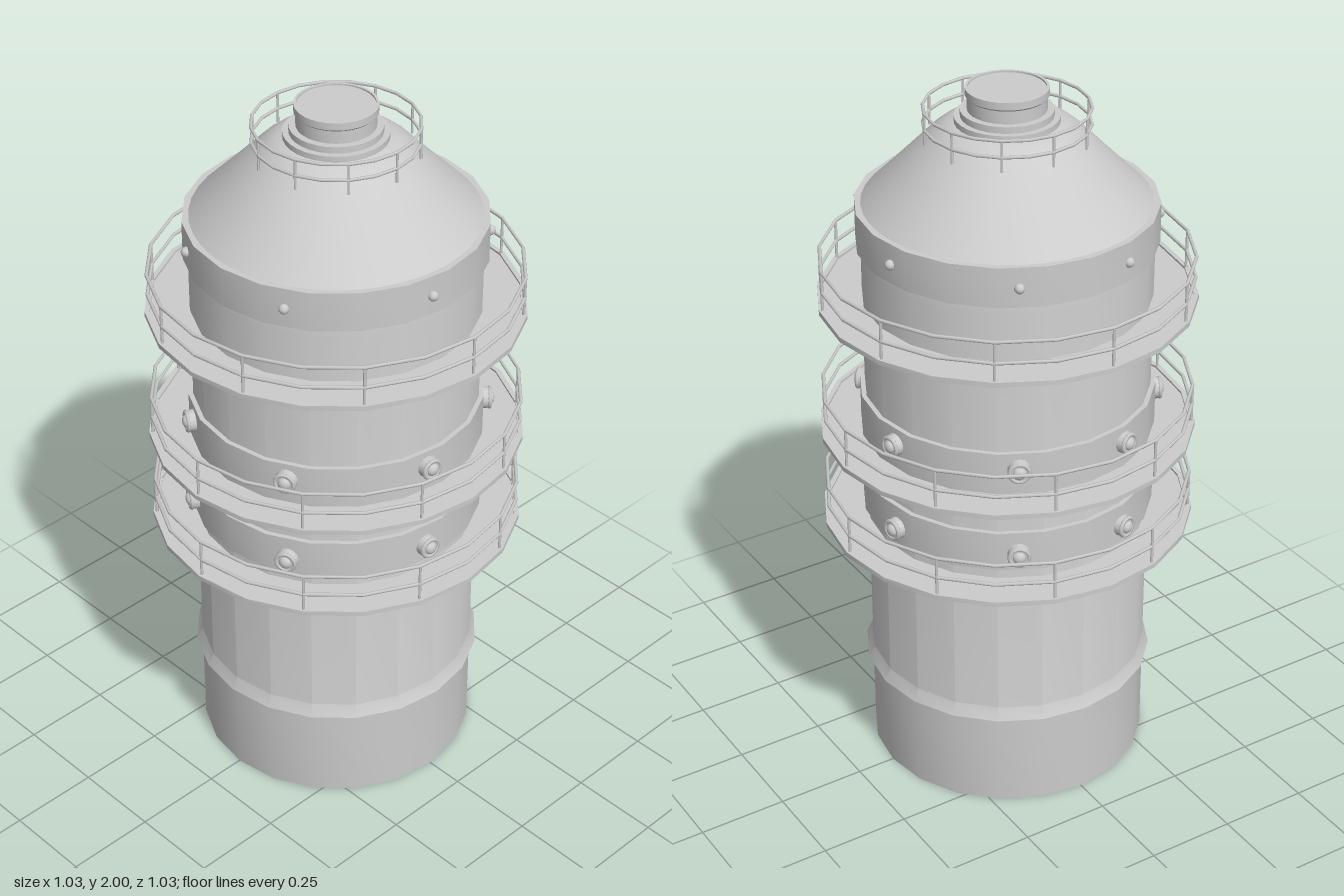
import * as THREE from 'three';
import { toCreasedNormals } from 'three/addons/utils/BufferGeometryUtils.js';

const SIDES = 20;
const material = new THREE.MeshStandardMaterial({ color: 0xcccccc, side: THREE.DoubleSide });

function add(parent, name, geometry, x = 0, y = 0, z = 0) {
  const mesh = new THREE.Mesh(geometry, material);
  mesh.name = name;
  mesh.position.set(x, y, z);
  parent.add(mesh);
  return mesh;
}

// Turned shell from [radius, height] pairs, listed bottom to top
function turned(parent, name, profile, sides = SIDES) {
  const points = profile.map(([r, y]) => new THREE.Vector2(r, y));
  return add(parent, name, toCreasedNormals(new THREE.LatheGeometry(points, sides), 0.5));
}

// Two hoops on a ring of upright posts
function railing(parent, radius, bottom, top, hoops, thick, offset) {
  const group = new THREE.Group();
  group.name = 'railing';
  for (const y of hoops) {
    const hoop = add(group, 'railHoop', new THREE.TorusGeometry(radius, thick, 6, SIDES), 0, y, 0);
    hoop.rotation.x = Math.PI / 2;
  }
  const post = new THREE.CylinderGeometry(thick * 0.8, thick * 0.8, top - bottom, 6);
  for (let i = 0; i < 10; i++) {
    const a = (i / 10) * Math.PI * 2 + offset;
    add(group, 'railPost', post, Math.sin(a) * radius, (top + bottom) / 2, Math.cos(a) * radius);
  }
  parent.add(group);
}

// Walkway: ring deck with a low kerb and its railing
function platform(parent, name, y, radius, offset) {
  const group = new THREE.Group();
  group.name = name;
  turned(group, 'deck', [
    [0.38, y - 0.006], [radius, y - 0.006], [radius, y + 0.008],
    [radius - 0.014, y + 0.008], [radius - 0.014, y + 0.002], [0.38, y + 0.002],
  ]);
  railing(group, radius - 0.01, y, y + 0.118, [y + 0.058, y + 0.118], 0.005, offset);
  parent.add(group);
}

// Compass bearings shared by the ports and the upper studs (degrees, from +z towards +x)
const BEARINGS = [-7, 45.5, 100, 152, 198, 242, 297];

function aroundBody(parent, name, y, radius, build) {
  for (const deg of BEARINGS) {
    const a = THREE.MathUtils.degToRad(deg);
    const group = new THREE.Group();
    group.name = name;
    group.position.set(Math.sin(a) * radius, y, Math.cos(a) * radius);
    group.rotation.y = a;
    build(group);
    parent.add(group);
  }
}

function buildPort(group) {
  const collar = add(group, 'portCollar', new THREE.CylinderGeometry(0.029, 0.032, 0.03, 14), 0, 0, 0.001);
  collar.rotation.x = Math.PI / 2;
  add(group, 'portRim', new THREE.TorusGeometry(0.026, 0.006, 6, 14), 0, 0, 0.014);
  const dome = add(group, 'portDome', new THREE.SphereGeometry(0.018, 12, 8), 0, 0, 0.015);
  dome.scale.z = 0.7;
}

function buildStud(group) {
  add(group, 'studHead', new THREE.SphereGeometry(0.014, 10, 8));
}

export function createModel() {
  const model = new THREE.Group();
  model.name = 'tower';

  // Open-bottomed body with a flared hoop near the base
  turned(model, 'body', [
    [0.39, 0], [0.39, 0.285], [0.407, 0.285], [0.39, 0.32], [0.39, 1.55], [0.385, 1.58],
  ]);

  // Raised belts
  for (const [name, low, high] of [
    ['lowerBelt', 0.785, 0.9], ['middleBelt', 1.022, 1.145], ['upperBelt', 1.573, 1.685],
  ]) {
    turned(model, name, [[0.382, low], [0.403, low], [0.403, high], [0.382, high]]);
  }

  // Conical roof easing into the neck
  turned(model, 'roof', [
    [0.387, 1.682], [0.28, 1.79], [0.205, 1.868], [0.178, 1.89], [0.155, 1.902], [0.135, 1.907],
  ], 40);

  // Neck collars and closed cap
  turned(model, 'neck', [
    [0.138, 1.9], [0.138, 1.922], [0.122, 1.922], [0.122, 1.94], [0.104, 1.94],
    [0.104, 1.975], [0.109, 1.98], [0.109, 2], [0.102, 2], [0.102, 1.995], [0, 1.995],
  ], 32);

  railing(model, 0.218, 1.86, 1.945, [1.9, 1.945], 0.0045, 0);

  platform(model, 'lowerPlatform', 0.75, 0.514, Math.PI / 10);
  platform(model, 'middlePlatform', 1.022, 0.514, Math.PI / 10);
  platform(model, 'upperPlatform', 1.412, 0.51, 0);

  aroundBody(model, 'lowerPort', 0.835, 0.404, buildPort);
  aroundBody(model, 'middlePort', 1.097, 0.404, buildPort);
  aroundBody(model, 'upperStud', 1.628, 0.402, buildStud);

  return model;
}
